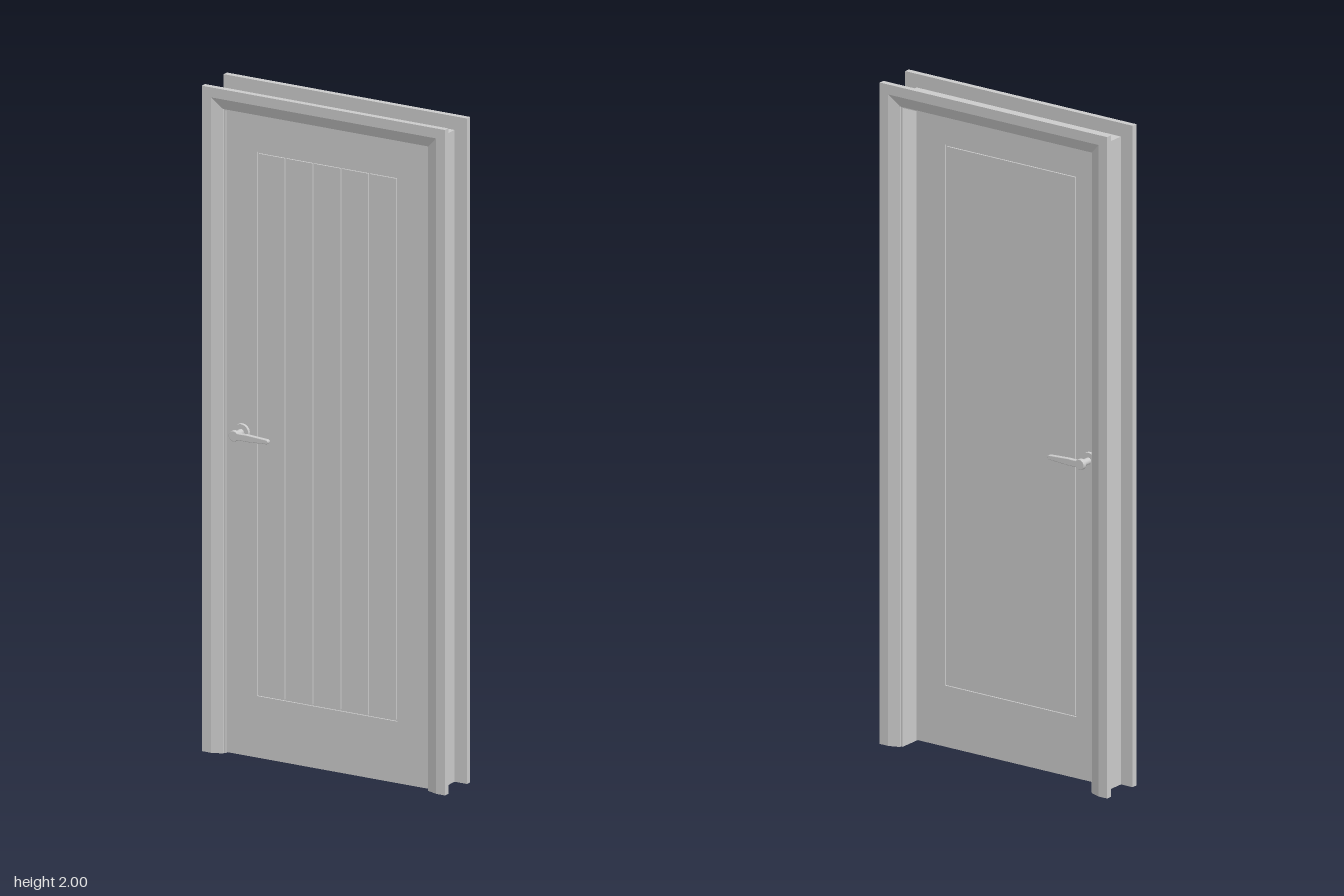
import * as THREE from 'three';

const grey = new THREE.MeshStandardMaterial({ color: 0xcccccc });
const HALF_W = 0.403, HEIGHT = 2;

function add(parent, name, geometry, x = 0, y = 0, z = 0) {
  const mesh = new THREE.Mesh(geometry, grey);
  mesh.name = name;
  mesh.position.set(x, y, z);
  parent.add(mesh);
  return mesh;
}

// Sweeps a closed [inset, z] profile up one side, over the head and down the other, mitred at the corners
function portal(profile) {
  const rings = [[-1, 0], [-1, 1], [1, 1], [1, 0]].map(([side, top]) =>
    profile.map(([inset, z]) => [side * (HALF_W - inset), top ? HEIGHT - inset : 0, z]));
  const n = profile.length, pos = [];
  const tri = (a, b, c) => pos.push(...a, ...b, ...c);
  for (let s = 0; s < 3; s++) {
    for (let j = 0; j < n; j++) {
      const k = (j + 1) % n;
      tri(rings[s][j], rings[s][k], rings[s + 1][k]);
      tri(rings[s][j], rings[s + 1][k], rings[s + 1][j]);
    }
  }
  for (let j = 1; j < n - 1; j++) {
    tri(rings[0][0], rings[0][j + 1], rings[0][j]);
    tri(rings[3][0], rings[3][j], rings[3][j + 1]);
  }
  const g = new THREE.BufferGeometry();
  g.setAttribute('position', new THREE.Float32BufferAttribute(pos, 3));
  g.computeVertexNormals();
  return g;
}

function rectangle(PathType, x, y0, y1) {
  const p = new PathType();
  p.moveTo(-x, y0).lineTo(x, y0).lineTo(x, y1).lineTo(-x, y1).closePath();
  return p;
}

// Rose, spindle and tapered lever; z = 0 is the door face
function makeHandle(name) {
  const handle = new THREE.Group();
  handle.name = name;
  add(handle, 'rose', new THREE.CylinderGeometry(0.024, 0.025, 0.008, 32).rotateX(Math.PI / 2), 0, 0, 0.004);
  add(handle, 'spindle', new THREE.CylinderGeometry(0.01, 0.01, 0.042, 24).rotateX(Math.PI / 2), 0, 0, 0.021);
  const b = 0.002;
  const s = new THREE.Shape();
  s.absarc(0, 0, 0.014, 0.65, Math.PI * 2 - 0.65, false);
  s.quadraticCurveTo(0.026, -0.0075, 0.04, -0.0085);
  s.lineTo(0.108, -0.0045);
  s.quadraticCurveTo(0.113, -0.004, 0.113, 0);
  s.quadraticCurveTo(0.113, 0.004, 0.108, 0.0045);
  s.lineTo(0.04, 0.0085);
  s.quadraticCurveTo(0.026, 0.0075, 0.014 * Math.cos(0.65), 0.014 * Math.sin(0.65));
  add(handle, 'lever', new THREE.ExtrudeGeometry(s, {
    depth: 0.009, bevelSize: b, bevelThickness: b, bevelSegments: 3, curveSegments: 24,
  }), 0, 0, 0.041);
  return handle;
}

export function createModel() {
  const model = new THREE.Group();
  model.name = 'door';

  // Frame: lining between two bevelled architraves
  add(model, 'jamb', portal([[0.041, -0.07], [0.041, 0.035], [0.068, 0.035], [0.068, -0.07]]));
  const trim = portal([[0, 0], [0, 0.018], [0.03, 0.018], [0.063, 0.006], [0.063, 0]]);
  add(model, 'frontArchitrave', trim, 0, 0, 0.035);
  add(model, 'backArchitrave', trim, 0, 0, -0.07).rotation.y = Math.PI;

  // Door leaf: outer rails and stiles around a recessed core
  const leaf = new THREE.Group();
  leaf.name = 'leaf';
  model.add(leaf);
  const front = 0.032, back = -0.004, thick = front - back, mid = (front + back) / 2;
  const px = 0.233, py0 = 0.188, py1 = 1.824, gap = 0.005, groove = 0.005;
  const shape = rectangle(THREE.Shape, 0.334, 0.003, 1.932);
  shape.holes.push(rectangle(THREE.Path, px, py0, py1));
  add(leaf, 'railsAndStiles', new THREE.ExtrudeGeometry(shape, { depth: thick, bevelEnabled: false }), 0, 0, back);
  const ph = py1 - py0, pc = (py0 + py1) / 2;
  add(leaf, 'core', new THREE.BoxGeometry(px * 2, ph, thick - groove * 2), 0, pc, mid);

  // Five planks on the front, one plain panel on the back
  const pitch = (px * 2 - gap) / 5;
  for (let i = 0; i < 5; i++) {
    add(leaf, 'plank', new THREE.BoxGeometry(pitch - gap, ph - gap * 2, groove),
      (i - 2) * pitch, pc, front - groove / 2);
  }
  add(leaf, 'backPanel', new THREE.BoxGeometry(px * 2 - gap * 2, ph - gap * 2, groove), 0, pc, back + groove / 2);

  // Lever handles on both faces
  const outer = makeHandle('frontHandle');
  outer.position.set(-0.281, 0.975, front);
  const inner = makeHandle('backHandle');
  inner.position.set(-0.281, 0.975, back);
  inner.rotation.x = Math.PI;
  model.add(outer, inner);

  return model;
}
